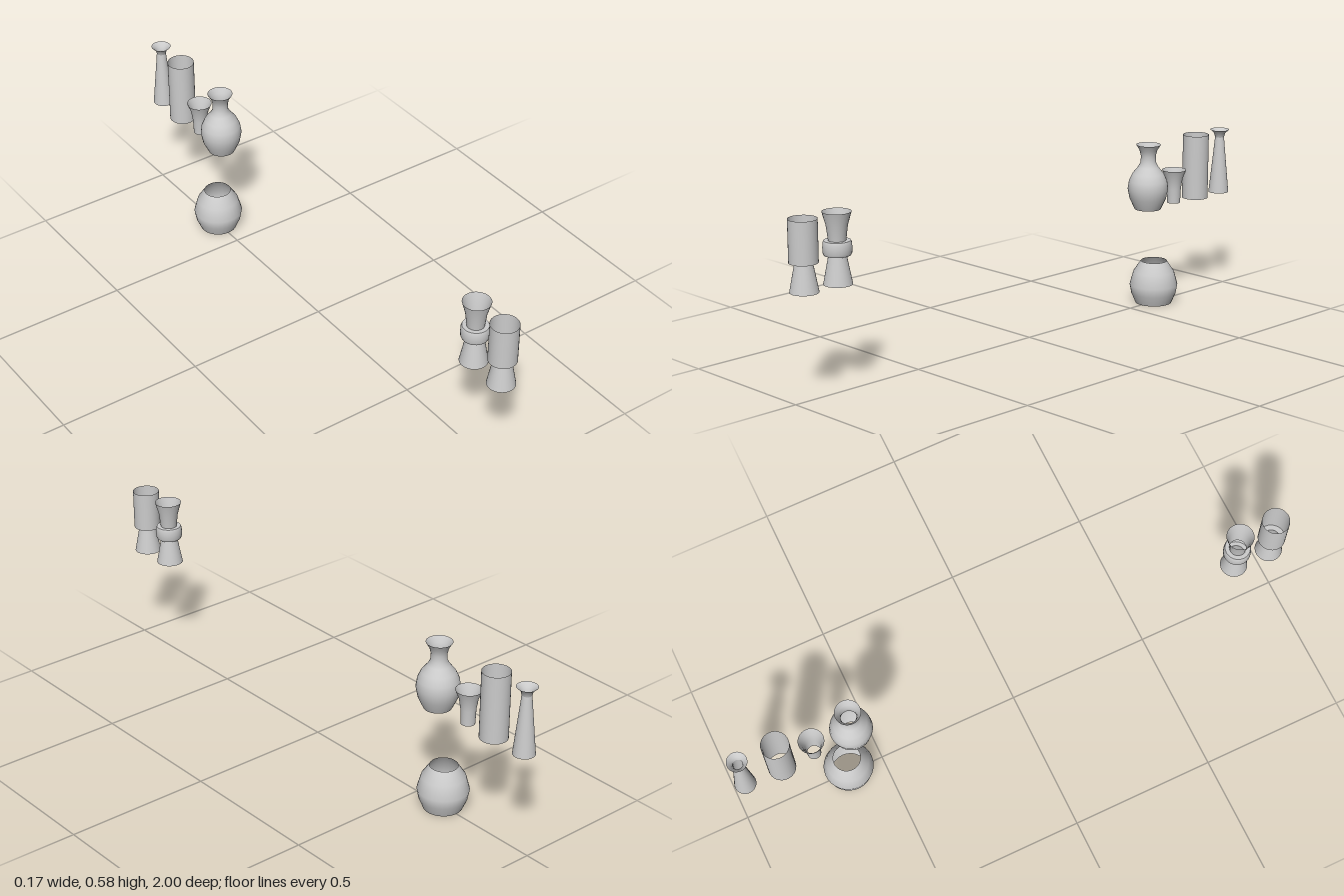
import * as THREE from 'three';

const material = new THREE.MeshStandardMaterial({ color: 0xcccccc, side: THREE.DoubleSide });
const SHELF = 0.348; // height of the upper row
const TOP = 0.578; // rim height of the tall vases

// Open, thin-walled vase turned from [radius, y] sections; edges between sections stay sharp
function vase(name, z, ...sections) {
  const group = new THREE.Group();
  group.name = name;
  sections.forEach((section, i) => {
    const points = section.map(([r, y]) => new THREE.Vector2(r, y));
    const mesh = new THREE.Mesh(new THREE.LatheGeometry(points, 32), material);
    mesh.name = `${name}Section${i + 1}`;
    group.add(mesh);
  });
  group.position.z = z;
  return group;
}

export function createModel() {
  const model = new THREE.Group();
  model.name = 'vaseCollection';
  const foot = [[0.046, SHELF], [0.028, 0.441]]; // conical foot shared by two vases

  model.add(
    // Front pair
    vase('footedCylinderVase', 0.954,
      foot,
      [[0.028, 0.441], [0.046, 0.441]],
      [[0.046, 0.441], [0.046, TOP]]),
    vase('beltedVase', 0.822,
      foot,
      [[0.028, 0.441], [0.042, 0.441]],
      [[0.042, 0.441], [0.0455, 0.449], [0.046, 0.464], [0.0455, 0.479], [0.042, 0.487]],
      [[0.042, 0.487], [0.028, 0.487]],
      [[0.028, 0.487], [0.034, 0.535], [0.046, TOP]]),

    // Rear row
    vase('roundBottleVase', -0.583,
      [[0.046, SHELF], [0.064, 0.386], [0.071, 0.421], [0.067, 0.449], [0.055, 0.475],
        [0.036, 0.498], [0.027, 0.515], [0.026, 0.538], [0.031, 0.558], [0.043, TOP]]),
    vase('smallFlaredVase', -0.72,
      [[0.023, SHELF], [0.025, 0.4], [0.031, 0.437], [0.043, 0.467]]),
    vase('cylinderVase', -0.834,
      [[0.046, SHELF], [0.046, TOP]]),
    vase('taperedVase', -0.964,
      [[0.036, SHELF], [0.016, 0.55]],
      [[0.016, 0.55], [0.02, 0.565], [0.034, TOP]]),

    // Low bowl
    vase('roundBowl', -0.62,
      [[0.064, 0], [0.079, 0.035], [0.085, 0.067], [0.072, 0.114], [0.046, 0.153]]),
  );
  return model;
}
